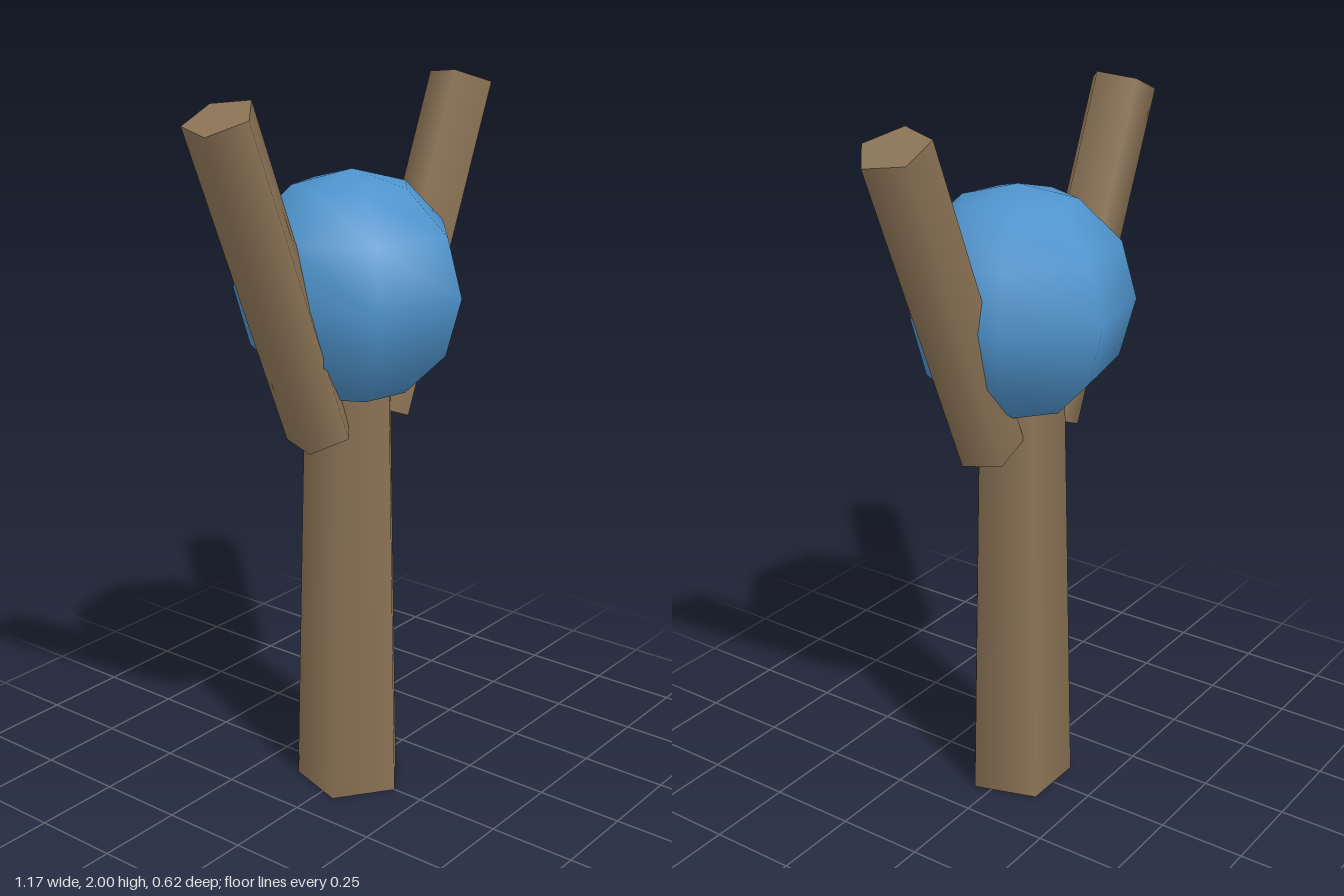
import * as THREE from 'three';

export function createModel() {
  const group = new THREE.Group();
  const wood = new THREE.MeshStandardMaterial({ color: 0x8b7355 });
  const blue = new THREE.MeshStandardMaterial({ color: 0x4f94cd });

  const add = (name, geometry, material, x, y, tilt = 0) => {
    const mesh = new THREE.Mesh(geometry, material);
    mesh.name = name;
    mesh.position.set(x, y, 0);
    mesh.rotation.z = tilt;
    group.add(mesh);
  };

  // Tapered five-sided trunk, its top buried in the ball
  const trunkHeight = 1.264;
  add('trunk', new THREE.CylinderGeometry(0.126, 0.158, trunkHeight, 5), wood, 0, trunkHeight / 2);

  // Mirrored pair of branches forming a fork
  const branch = new THREE.CylinderGeometry(0.0945, 0.0945, 0.948, 5);
  for (const side of [1, -1]) {
    add(side > 0 ? 'leftBranch' : 'rightBranch', branch, wood, side * 0.317, 1.527, -side * 0.4);
  }

  // Coarse ball held in the fork
  add('ball', new THREE.SphereGeometry(0.316, 7, 6), blue, 0, 1.464);

  return group;
}
